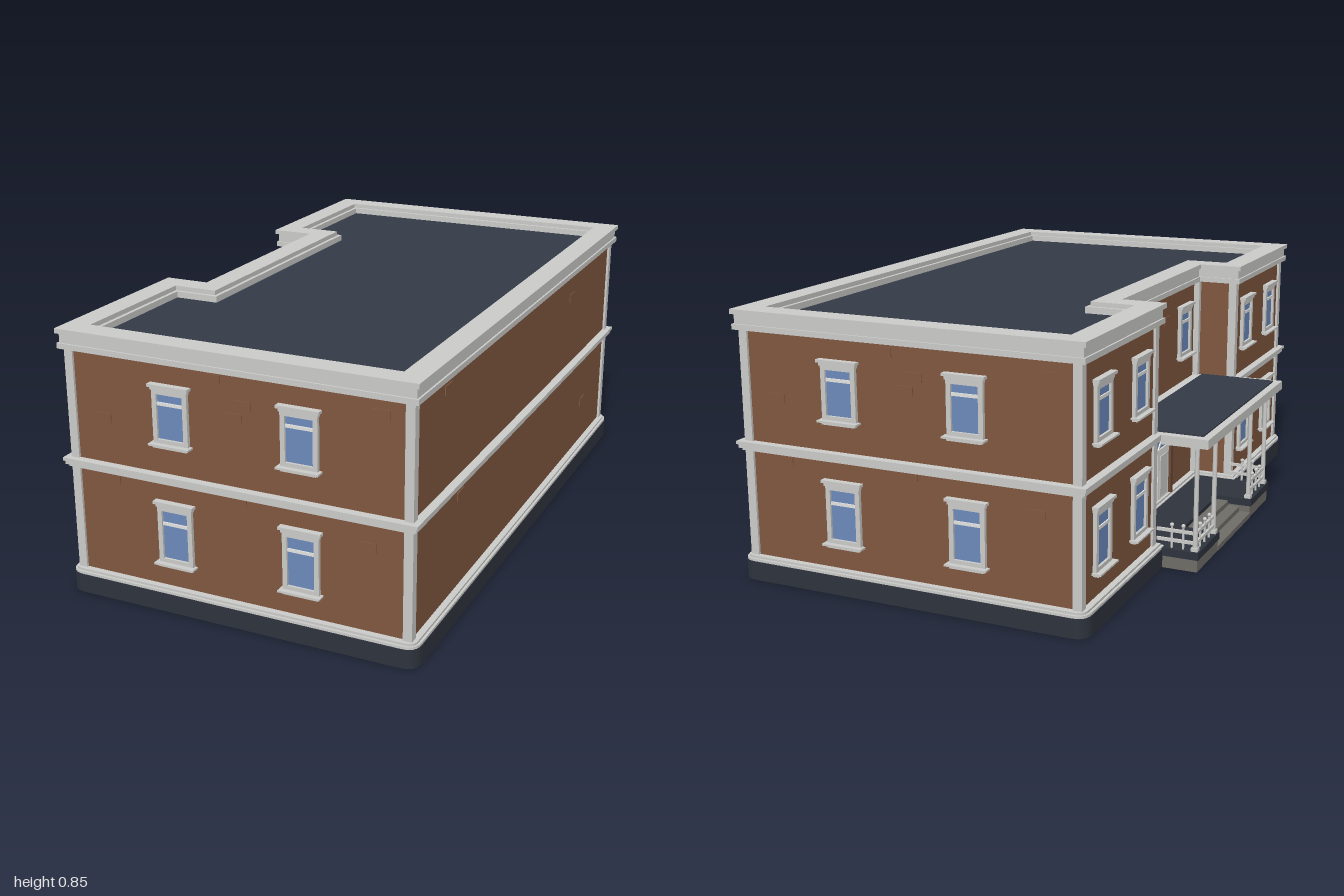
import * as THREE from 'three';

const mat = (name, color) => Object.assign(new THREE.MeshStandardMaterial({ color }), { name });

export function createModel() {
  const M = {
    brick: mat('brick', 0x80573f),
    trim: mat('light stone', 0xcbcbc9),
    roof: mat('slate roof', 0x343a46),
    plinth: mat('dark plinth', 0x2e333d),
    glass: mat('window glass', 0x6b8abc),
    step: mat('step stone', 0x6f6d67),
    door: mat('white door', 0xe4e4e2),
    surround: mat('door surround', 0x6a4936),
  };
  M.roof.side = THREE.DoubleSide;
  const root = new THREE.Group();

  const add = (parent, name, geo, material, x = 0, y = 0, z = 0) => {
    const m = new THREE.Mesh(geo, material);
    m.name = name;
    m.position.set(x, y, z);
    parent.add(m);
    return m;
  };
  const box = (parent, name, material, w, h, d, x, y, z) =>
    add(parent, name, new THREE.BoxGeometry(w, h, d), material, x, y, z);
  // box from min/max ranges
  const span = (parent, name, material, x0, x1, y0, y1, z0, z1) =>
    box(parent, name, material, x1 - x0, y1 - y0, z1 - z0, (x0 + x1) / 2, (y0 + y1) / 2, (z0 + z1) / 2);

  // U-shaped footprint of the walls, grown outward by d
  const outline = (d) => {
    const L = -0.475 - d, R = 0.622 + d, Z = 0.97 + d, rx = -0.33 - d, rz = 0.4 - d;
    return [[L, -Z], [R, -Z], [R, Z], [L, Z], [L, rz], [rx, rz], [rx, -rz], [L, -rz]];
  };
  // footprint as a path, with the four main corners optionally rounded
  const trace = (path, d, r = 0) => {
    const p = outline(d);
    p.forEach(([x, y], i) => {
      const toward = ([a, b]) => {
        const l = Math.hypot(a - x, b - y);
        return [x + ((a - x) * r) / l, y + ((b - y) * r) / l];
      };
      const a = r && i < 4 ? toward(p[(i + 7) % 8]) : [x, y];
      if (i === 0) path.moveTo(...a); else path.lineTo(...a);
      if (r && i < 4) path.quadraticCurveTo(x, y, ...toward(p[(i + 1) % 8]));
    });
    path.closePath();
    return path;
  };
  const ring = (name, material, y0, y1, outer, inner, r = 0) => {
    const s = trace(new THREE.Shape(), outer, r);
    s.holes.push(trace(new THREE.Path(), inner));
    const g = new THREE.ExtrudeGeometry(s, { depth: y1 - y0, bevelEnabled: false, curveSegments: 6 });
    g.rotateX(-Math.PI / 2);
    return add(root, name, g, material, 0, y0, 0);
  };

  // Walls, plinth, belt course and cornice
  ring('walls', M.brick, 0, 0.79, 0, -0.01);
  ring('plinth', M.plinth, 0, 0.06, 0.03, -0.002, 0.05);
  ring('plinthLedge', M.trim, 0.06, 0.068, 0.028, -0.002, 0.045);
  ring('plinthLedgeTop', M.trim, 0.068, 0.075, 0.02, -0.002, 0.03);
  [[0.41, 0.418, 0.014], [0.418, 0.43, 0.022], [0.43, 0.44, 0.027]].forEach(([a, b, d]) =>
    ring('beltCourse', M.trim, a, b, d, -0.014));
  [[0.783, 0.8, 0.022, -0.062], [0.8, 0.83, 0.016, -0.062], [0.83, 0.845, 0.025, -0.05]].forEach(([a, b, d, e]) =>
    ring('cornice', M.trim, a, b, d, e));

  // Flat roof
  const roofGeo = new THREE.ShapeGeometry(trace(new THREE.Shape(), -0.05));
  roofGeo.rotateX(-Math.PI / 2);
  add(root, 'roof', roofGeo, M.roof, 0, 0.81, 0);

  // Corner pilasters on both floors
  outline(-0.006).forEach(([x, z], i) => {
    if (i === 5 || i === 6) { x -= 0.012; z -= 0.012 * Math.sign(z); }
    span(root, 'pilaster', M.trim, x - 0.014, x + 0.014, 0.07, 0.412, z - 0.014, z + 0.014);
    span(root, 'pilaster', M.trim, x - 0.014, x + 0.014, 0.438, 0.785, z - 0.014, z + 0.014);
  });

  // Windows, built facing +z against the wall plane
  const rect = (P, w, y0, y1) => {
    const s = new P();
    s.moveTo(-w, y0); s.lineTo(w, y0); s.lineTo(w, y1); s.lineTo(-w, y1); s.closePath();
    return s;
  };
  const makeWindow = (x, z, rot, upper) => {
    const [y0, y1, bar] = upper ? [0.55, 0.688, 0.658] : [0.168, 0.322, 0.28];
    const g = new THREE.Group();
    g.name = 'window';
    const frame = rect(THREE.Shape, 0.058, y0 - 0.014, y1 + 0.014);
    frame.holes.push(rect(THREE.Path, 0.043, y0, y1));
    add(g, 'windowFrame', new THREE.ExtrudeGeometry(frame, { depth: 0.012, bevelEnabled: false }), M.trim);
    span(g, 'windowGlass', M.glass, -0.044, 0.044, y0, y1, 0, 0.004);
    span(g, 'windowTransom', M.door, -0.043, 0.043, bar - 0.005, bar + 0.005, 0, 0.008);
    span(g, 'windowLintel', M.trim, -0.061, 0.061, y1 + 0.012, y1 + 0.022, 0, 0.015);
    span(g, 'windowLintelCap', M.trim, -0.067, 0.067, y1 + 0.022, y1 + 0.031, 0, 0.021);
    span(g, 'windowSill', M.trim, -0.067, 0.067, y0 - 0.018, y0 - 0.012, 0, 0.029);
    span(g, 'windowSillBase', M.trim, -0.056, 0.056, y0 - 0.026, y0 - 0.018, 0, 0.018);
    g.position.set(x, 0, z);
    g.rotation.y = rot;
    root.add(g);
  };
  for (const upper of [true, false]) {
    for (const x of [-0.127, 0.287]) {
      makeWindow(x, 0.97, 0, upper);
      makeWindow(x, -0.97, Math.PI, upper);
    }
    for (const z of [0.535, 0.825, -0.535, -0.825]) makeWindow(-0.475, z, -Math.PI / 2, upper);
  }
  for (const z of [0.27, -0.27]) makeWindow(-0.33, z, -Math.PI / 2, true);

  // Scattered raised bricks
  const bricks = [[0.01, 0.757], [0.107, 0.692], [0.077, 0.65], [0.53, 0.735], [-0.363, 0.583],
    [-0.343, 0.39], [0.085, 0.398], [0.49, 0.337]];
  for (const [x, y] of bricks) {
    box(root, 'raisedBrick', M.brick, 0.054, 0.028, 0.006, x, y, 0.97);
    box(root, 'raisedBrick', M.brick, 0.054, 0.028, 0.006, 0.147 - x, y, -0.97);
  }
  for (const [z, y] of [[-0.49, 0.69], [0.72, 0.74], [-0.7, 0.23], [0.6, 0.37]])
    box(root, 'raisedBrick', M.brick, 0.006, 0.028, 0.054, 0.622, y, z);
  box(root, 'raisedBrick', M.brick, 0.006, 0.028, 0.054, -0.33, 0.69, 0.1);

  // Arched double door, thick enough to show through the wall
  const arch = (P, w, y0, y1) => {
    const s = new P();
    s.moveTo(-w, y0); s.lineTo(w, y0); s.lineTo(w, y1);
    s.absarc(0, y1, w, 0, Math.PI, false);
    s.closePath();
    return s;
  };
  const door = new THREE.Group();
  door.name = 'entranceDoor';
  const ex = (s, depth) => new THREE.ExtrudeGeometry(s, { depth, bevelEnabled: false, curveSegments: 10 });
  const surround = arch(THREE.Shape, 0.135, 0.065, 0.25);
  surround.holes.push(arch(THREE.Path, 0.112, 0.065, 0.25));
  add(door, 'doorSurround', ex(surround, 0.04), M.surround, 0, 0, -0.02);
  add(door, 'fanlight', ex(arch(THREE.Shape, 0.112, 0.25, 0.25), 0.026), M.glass, 0, 0, -0.017);
  for (const s of [-1, 1]) {
    span(door, 'doorLeaf', M.door, s * 0.056 - 0.053, s * 0.056 + 0.053, 0.065, 0.25, -0.02, 0.012);
    span(door, 'doorPanel', M.trim, s * 0.056 - 0.035, s * 0.056 + 0.035, 0.085, 0.23, -0.023, 0.015);
    const bar = box(door, 'fanlightBar', M.door, 0.008, 0.11, 0.034, s * 0.039, 0.289, -0.004);
    bar.rotation.z = -s * Math.PI / 4;
  }
  span(door, 'doorTransom', M.door, -0.112, 0.112, 0.245, 0.257, -0.022, 0.014);
  door.position.x = -0.33;
  door.rotation.y = -Math.PI / 2;
  root.add(door);

  // Porch floor with inset steps
  span(root, 'porchBase', M.step, -0.5, -0.335, 0.002, 0.04, -0.385, 0.385);
  span(root, 'porchFloor', M.plinth, -0.502, -0.332, 0.04, 0.065, -0.387, 0.387);
  for (let i = 0; i < 3; i++)
    span(root, 'step', M.step, -0.622 + i * 0.04, -0.5, 0, 0.017 * (i + 1), -0.18, 0.18);
  for (const s of [-1, 1]) {
    const zr = (a, b) => (s > 0 ? [a, b] : [-b, -a]);
    span(root, 'porchWingBase', M.step, -0.62, -0.49, 0, 0.04, ...zr(0.18, 0.39));
    span(root, 'porchWingFloor', M.plinth, -0.624, -0.49, 0.04, 0.065, ...zr(0.177, 0.393));

    // Columns
    for (const z of [0.195, 0.375]) {
      add(root, 'column', new THREE.CylinderGeometry(0.007, 0.008, 0.35, 10), M.trim, -0.608, 0.238, s * z);
      box(root, 'columnBase', M.trim, 0.022, 0.012, 0.022, -0.608, 0.071, s * z);
      box(root, 'columnCapital', M.trim, 0.022, 0.01, 0.022, -0.608, 0.405, s * z);
    }
    // Railings along the front and the end
    for (const y of [0.09, 0.122]) {
      span(root, 'rail', M.trim, -0.612, -0.604, y - 0.005, y + 0.005, ...zr(0.195, 0.375));
      span(root, 'rail', M.trim, -0.608, -0.48, y - 0.005, y + 0.005, ...zr(0.371, 0.379));
    }
    const baluster = (x, z) => {
      add(root, 'baluster', new THREE.CylinderGeometry(0.004, 0.004, 0.075, 8), M.trim, x, 0.1, z);
      add(root, 'balusterKnob', new THREE.SphereGeometry(0.007, 8, 6), M.trim, x, 0.141, z);
    };
    for (const x of [-0.568, -0.53]) baluster(x, s * 0.375);
    for (const z of [0.24, 0.285, 0.33]) baluster(-0.608, s * z);
  }

  // Porch canopy
  span(root, 'canopy', M.trim, -0.655, -0.502, 0.411, 0.441, -0.415, 0.415);
  span(root, 'canopyInner', M.trim, -0.51, -0.332, 0.411, 0.441, -0.385, 0.385);
  span(root, 'canopyRoof', M.roof, -0.63, -0.366, 0.439, 0.446, -0.385, 0.385);

  return root;
}
